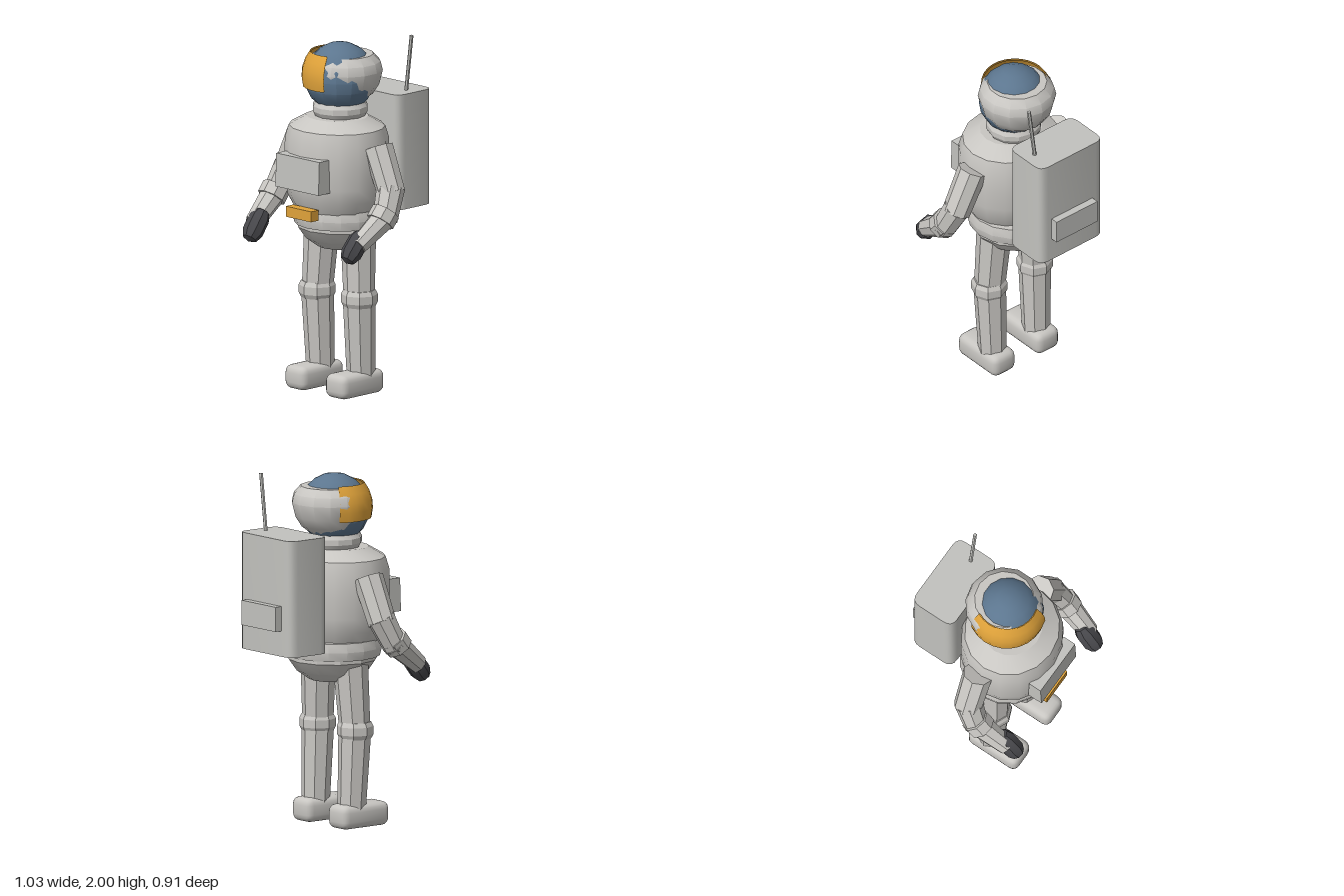
import * as THREE from 'three';
import { toCreasedNormals } from 'three/addons/utils/BufferGeometryUtils.js';
import { RoundedBoxGeometry } from 'three/addons/geometries/RoundedBoxGeometry.js';

const mat = (name, color, extra = {}) => {
  const m = new THREE.MeshStandardMaterial({ color, ...extra });
  m.name = name;
  return m;
};
const V = (x, y, z) => new THREE.Vector3(x, y, z);

export function createModel() {
  const model = new THREE.Group();
  model.name = 'spaceSuit';
  const suit = mat('suitWhite', 0xc8c6c2);
  const gear = mat('gearGrey', 0xc2c2be);
  const glass = mat('helmetBlue', 0x5c768f);
  const gold = mat('visorGold', 0xdfa23a, { side: THREE.DoubleSide });
  const glove = mat('gloveDark', 0x48484c);

  const add = (name, geo, material, x = 0, y = 0, z = 0, parent = model) => {
    const mesh = new THREE.Mesh(geo, material);
    mesh.name = name;
    mesh.position.set(x, y, z);
    parent.add(mesh);
    return mesh;
  };
  // Turned body part: [radius, height] pairs from bottom to top
  const lathe = (pts, sides, crease = 0.5) => toCreasedNormals(
    new THREE.LatheGeometry(pts.map(([r, y]) => new THREE.Vector2(r, y)), sides), crease);
  // Faceted tapered limb from a to b
  const limb = (parent, name, a, b, ra, rb, material = suit, sides = 8) => {
    const geo = toCreasedNormals(new THREE.CylinderGeometry(rb, ra, a.distanceTo(b), sides), 0.3);
    const mesh = add(name, geo, material, 0, 0, 0, parent);
    mesh.position.copy(a).lerp(b, 0.5);
    mesh.quaternion.setFromUnitVectors(V(0, 1, 0), b.clone().sub(a).normalize());
    return mesh;
  };

  // Torso, slightly flattened front to back
  const torso = add('torso', lathe([[0.001, 1.04], [0.24, 1.04], [0.285, 1.12], [0.3, 1.2],
    [0.304, 1.32], [0.302, 1.45], [0.28, 1.52], [0.18, 1.575], [0.001, 1.575]], 16), suit, 0, 0, 0.115);
  torso.scale.z = 0.93;

  // Waist ring and pelvis
  add('waistRing', lathe([[0.001, 0.96], [0.26, 0.96], [0.272, 1.01], [0.258, 1.06], [0.001, 1.06]], 16),
    suit, 0, 0, 0.085);
  add('pelvis', lathe([[0.001, 0.825], [0.135, 0.825], [0.205, 0.875], [0.25, 0.94], [0.25, 0.97], [0.001, 0.97]], 12),
    suit, 0, 0, 0.08);
  add('buckle', new THREE.BoxGeometry(0.2, 0.06, 0.06), gold, 0, 1.055, 0.39);

  // Neck ring
  add('neckRing', lathe([[0.001, 1.57], [0.14, 1.57], [0.157, 1.6], [0.157, 1.63], [0.14, 1.66], [0.001, 1.66]], 12),
    suit, 0, 0, 0.09);

  // Helmet: blue globe showing through the white shell
  add('helmetGlobe', toCreasedNormals(new THREE.SphereGeometry(0.2, 14, 10), 0.5), glass, 0, 1.79, 0.09);
  add('helmetShell', lathe([[0.001, 1.66], [0.12, 1.66], [0.165, 1.695], [0.2, 1.75], [0.22, 1.83],
    [0.208, 1.88], [0.168, 1.922], [0.001, 1.922]], 14, 0.6), suit, 0, 0, 0.062);
  add('visor', toCreasedNormals(
    new THREE.SphereGeometry(0.224, 10, 4, -0.5, 2.38, 0.9, 0.94), 0.5), gold, 0, 1.8, 0.08);
  // Inner face gives the visor a visible rim thickness
  add('visorLining', toCreasedNormals(
    new THREE.SphereGeometry(0.216, 10, 4, -0.5, 2.38, 0.9, 0.94), 0.5), gold, 0, 1.8, 0.08);

  // Chest panel, lower front edge pushed out a little
  const panel = new THREE.BoxGeometry(0.34, 0.19, 0.09);
  const p = panel.attributes.position;
  for (let i = 0; i < p.count; i++) {
    if (p.getY(i) > 0) p.setZ(i, p.getZ(i) * 0.85);
  }
  panel.computeVertexNormals();
  add('chestPanel', panel, gear, 0, 1.285, 0.387);

  // Backpack: rounded rectangle extruded upward
  const w = 0.23, d = 0.137, r = 0.055;
  const s = new THREE.Shape();
  s.moveTo(-w + r, -d).lineTo(w - r, -d).quadraticCurveTo(w, -d, w, -d + r)
    .lineTo(w, d - r).quadraticCurveTo(w, d, w - r, d)
    .lineTo(-w + r, d).quadraticCurveTo(-w, d, -w, d - r)
    .lineTo(-w, -d + r).quadraticCurveTo(-w, -d, -w + r, -d);
  const pack = new THREE.ExtrudeGeometry(s, { depth: 0.66, bevelEnabled: false, curveSegments: 4 });
  pack.rotateX(-Math.PI / 2);
  add('backpack', toCreasedNormals(pack, 0.5), gear, 0, 1.02, -0.275);
  add('backpackPanel', new THREE.BoxGeometry(0.3, 0.14, 0.06), gear, 0, 1.235, -0.425);
  limb(model, 'antenna', V(0.155, 1.66, -0.275), V(0.2, 2.0, -0.275), 0.011, 0.011, gear, 6);

  for (const side of [1, -1]) {
    const word = side > 0 ? 'left' : 'right';
    const P = (x, y, z) => V(side * x, y, z);

    // Leg with knee band and boot
    const leg = new THREE.Group();
    leg.name = word + 'Leg';
    model.add(leg);
    limb(leg, 'thigh', P(0.165, 0.54, 0.105), P(0.143, 0.93, 0.09), 0.087, 0.1);
    limb(leg, 'shin', P(0.16, 0.1, 0.085), P(0.165, 0.57, 0.105), 0.08, 0.093);
    add('kneeBand', lathe([[0.001, 0.505], [0.09, 0.505], [0.103, 0.53], [0.103, 0.575], [0.09, 0.6], [0.001, 0.6]], 8, 0.3),
      suit, side * 0.167, 0, 0.105, leg);
    add('boot', toCreasedNormals(new RoundedBoxGeometry(0.165, 0.137, 0.335, 2, 0.042), 0.6),
      suit, side * 0.16, 0.0685, 0.135, leg);

    // Bent arm with elbow cuff and glove
    const arm = new THREE.Group();
    arm.name = word + 'Arm';
    model.add(arm);
    limb(arm, 'upperArm', P(0.3, 1.435, 0.09), P(0.415, 1.19, 0.1), 0.086, 0.08);
    limb(arm, 'elbow', P(0.405, 1.22, 0.095), P(0.438, 1.05, 0.175), 0.08, 0.07);
    limb(arm, 'forearm', P(0.438, 1.08, 0.16), P(0.41, 0.93, 0.36), 0.074, 0.054);
    limb(arm, 'elbowCuff', P(0.432, 1.1, 0.16), P(0.43, 1.045, 0.205), 0.082, 0.082);
    const hand = limb(arm, 'glove', P(0.395, 1.0, 0.3), P(0.386, 0.84, 0.43), 1, 1, glove);
    hand.geometry = toCreasedNormals(new THREE.CapsuleGeometry(0.06, 0.09, 2, 8), 0.4);
  }
  return model;
}
